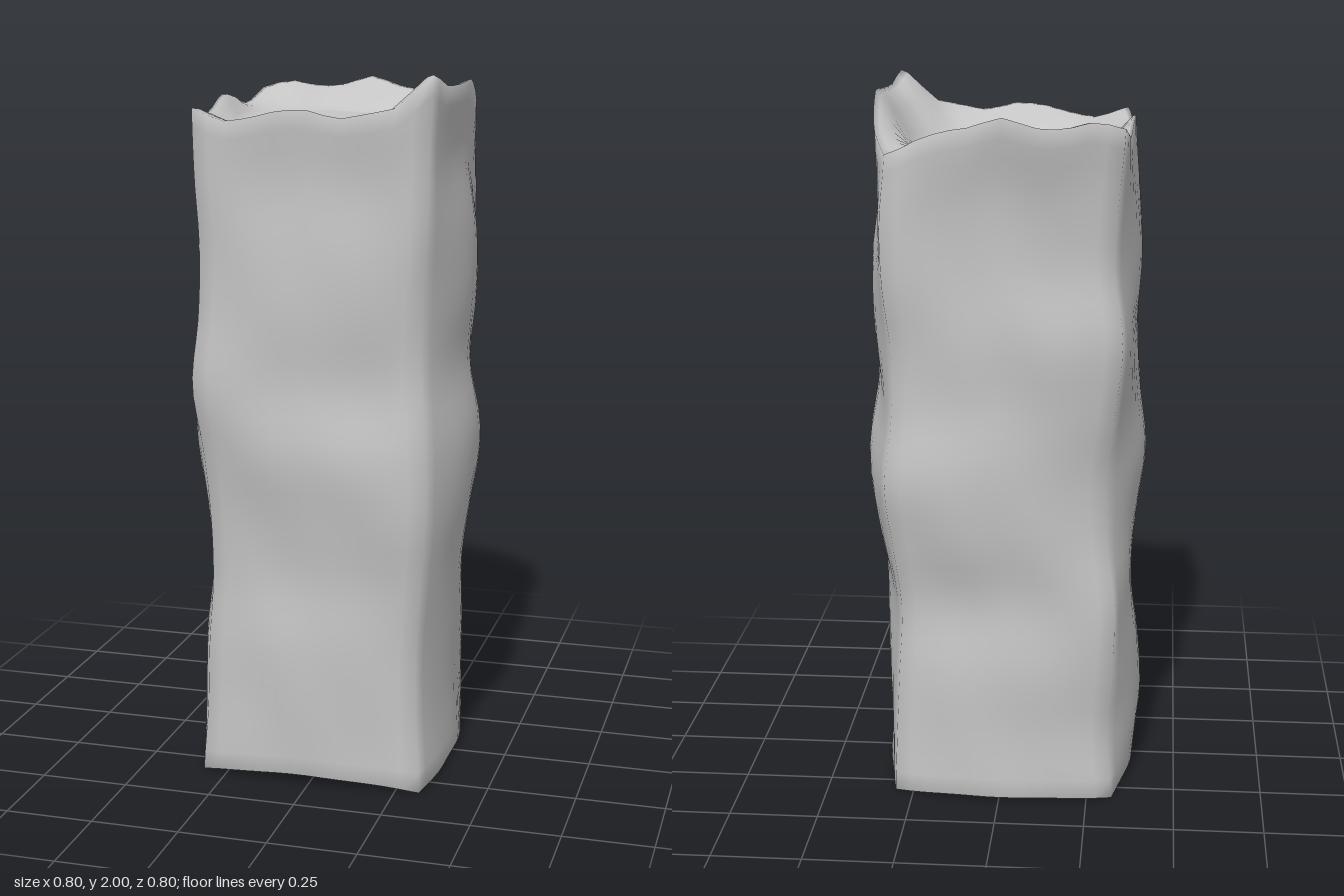
import * as THREE from 'three';

const SIDE = 14;          // columns along one side
const COLS = SIDE * 4;
const ROWS = 36;          // rows up the walls

// Corners, counter-clockwise from above: [x, z]
const CORNERS = [[0.335, 0.35], [0.325, -0.335], [-0.335, -0.33], [-0.34, 0.345]];
const OUT = [[1, 0], [0, -1], [-1, 0], [0, 1]];

// How far each corner stands out, from bottom to top
const EDGE = [
  [0.95, 0.91, 0.9, 0.94, 0.99, 0.98, 0.93, 0.94, 0.98, 1.0, 1.03],
  [0.93, 0.91, 0.885, 0.86, 0.92, 0.98, 0.92, 0.91, 0.97, 0.985, 0.94],
  [0.96, 0.91, 0.95, 0.965, 0.89, 0.88, 0.95, 1.0, 0.925, 0.95, 1.0],
  [0.95, 0.915, 0.9, 0.87, 0.88, 0.92, 0.985, 0.94, 0.925, 0.95, 0.96],
];
// Distance of the middle of each side from the axis, from bottom to top
const BULGE = [
  [0.35, 0.345, 0.35, 0.36, 0.388, 0.398, 0.372, 0.385, 0.378, 0.357, 0.375],
  [0.372, 0.36, 0.362, 0.345, 0.37, 0.38, 0.366, 0.372, 0.358, 0.362, 0.4],
  [0.375, 0.395, 0.385, 0.362, 0.376, 0.4, 0.378, 0.37, 0.38, 0.368, 0.355],
  [0.368, 0.376, 0.374, 0.362, 0.38, 0.398, 0.378, 0.386, 0.38, 0.368, 0.382],
];
// Height of the torn rim, eight points to a side, from the first corner
const RIM = [
  2.0, 1.97, 1.965, 1.97, 1.97, 1.94, 1.89, 1.865,
  1.84, 1.88, 1.91, 1.925, 1.95, 1.925, 1.92, 1.935,
  1.915, 1.885, 1.88, 1.905, 1.915, 1.89, 1.875, 1.885,
  1.9, 1.87, 1.88, 1.9, 1.905, 1.885, 1.9, 1.92,
];

// Smooth interpolation through evenly spaced values
function sample(list, t, loop = false) {
  const n = list.length;
  const at = (k) => list[loop ? (k + n) % n : Math.min(n - 1, Math.max(0, k))];
  const i = Math.floor(t), f = t - i;
  const a = at(i - 1), b = at(i), c = at(i + 1), d = at(i + 2);
  return b + 0.5 * f * (c - a + f * (2 * a - 5 * b + 4 * c - d + f * (3 * (b - c) + d - a)));
}

// Corner of the cross-section at height v
function corner(s, v) {
  const k = sample(EDGE[s], v * 10);
  return [CORNERS[s][0] * k, CORNERS[s][1] * k];
}

// Point on the outer wall
function wall(i, v) {
  const s = Math.floor(i / SIDE), t = (i % SIDE) / SIDE;
  const a = corner(s, v), b = corner((s + 1) % 4, v), o = OUT[s];
  const arch = 1 - Math.abs(2 * t - 1) ** 1.9;
  const low = (s === 3 ? 0.03 : 0.015) * arch;
  const y = low + (sample(RIM, (i / COLS) * RIM.length, true) - low) * v;
  const x = a[0] + (b[0] - a[0]) * t, z = a[1] + (b[1] - a[1]) * t;
  const middle = ((a[0] + b[0]) * o[0] + (a[1] + b[1]) * o[1]) / 2;
  const swell = sample(BULGE[s], v * 10) - middle;
  const dent = 0.004 * Math.sin(v * 23 + t * 9 + s * 2) * Math.sin(t * Math.PI * 2);
  return [x + o[0] * (swell * arch + dent), y, z + o[1] * (swell * arch + dent)];
}

// Ring between the wall edge (k = 0) and a round inner panel (k = 1)
function inset(i, v, k, radius, drop) {
  const [x, y, z] = wall(i, v);
  const angle = Math.atan2(z, x);
  const cx = -0.02 + radius * Math.cos(angle), cz = radius * Math.sin(angle);
  // The top panel tilts down towards the front left corner
  const level = v ? 1.835 - 0.055 * (cx + cz) : 0.045;
  return [x + (cx - x) * k, y + (level - y) * drop, z + (cz - z) * k];
}

function skin() {
  const rings = [];
  const add = (fn) => rings.push(Array.from({ length: COLS }, (_, i) => fn(i)));
  // Sunken underside
  for (const r of [0.001, 0.14, 0.26]) add((i) => inset(i, 0, 1, r, 1));
  for (const [k, drop] of [[0.55, 0.6], [0.12, 0.05]]) add((i) => inset(i, 0, k, 0.27, drop));
  // Crumpled walls
  for (let j = 0; j <= ROWS; j++) add((i) => wall(i, j / ROWS));
  // Rim rolling in to the sunken top
  for (const [k, drop] of [[0.12, 0.04], [0.38, 0.35], [0.7, 0.82], [0.9, 0.98]]) {
    add((i) => inset(i, 1, k, 0.26, drop));
  }
  for (const r of [0.26, 0.13, 0.001]) add((i) => inset(i, 1, 1, r, 1));

  const index = [];
  for (let j = 0; j < rings.length - 1; j++) {
    for (let i = 0; i < COLS; i++) {
      const n = (i + 1) % COLS;
      const a = j * COLS + i, b = j * COLS + n, c = b + COLS, d = a + COLS;
      index.push(a, b, c, a, c, d);
    }
  }
  const geometry = new THREE.BufferGeometry();
  geometry.setAttribute('position', new THREE.Float32BufferAttribute(rings.flat(2), 3));
  geometry.setIndex(index);
  geometry.computeVertexNormals();
  return geometry;
}

export function createModel() {
  const group = new THREE.Group();
  group.name = 'crumpledBlock';
  const grey = new THREE.MeshStandardMaterial({ color: 0xc4c4c4 });
  grey.name = 'plain grey';
  const body = new THREE.Mesh(skin(), grey);
  body.name = 'body';
  group.add(body);
  return group;
}
